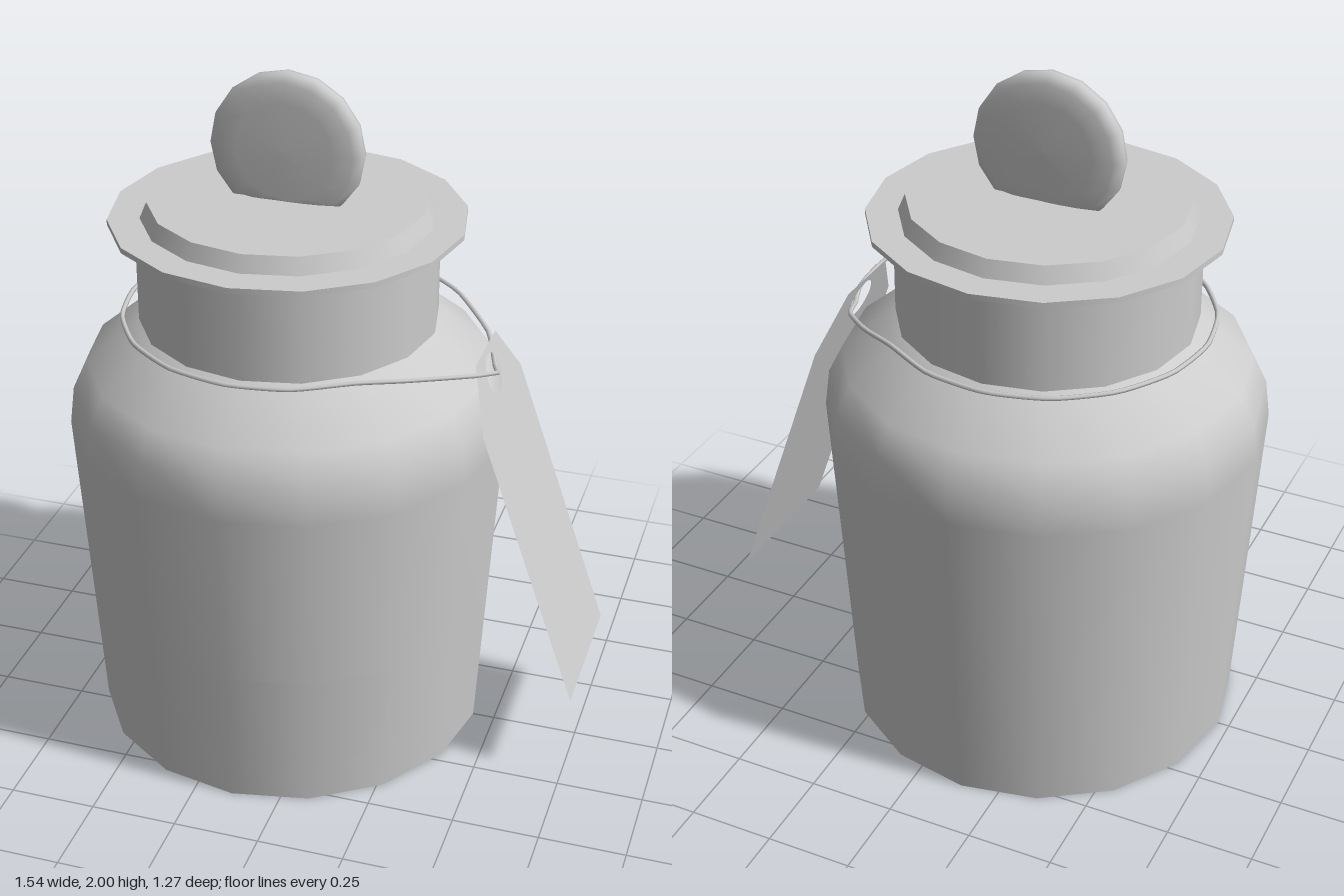
import * as THREE from 'three';

const SIDES = 16;
const AXIS_X = -0.14; // the jar stands off-centre so that the tag fits beside it

export function createModel() {
  const model = new THREE.Group();
  const grey = new THREE.MeshStandardMaterial({ color: 0xcccccc });
  const greySheet = new THREE.MeshStandardMaterial({ color: 0xcccccc, side: THREE.DoubleSide });
  greySheet.name = 'grey sheet';
  grey.name = 'grey';

  const add = (name, geometry, x = 0, y = 0, material = grey) => {
    const mesh = new THREE.Mesh(geometry, material);
    mesh.name = name;
    mesh.position.set(x, y, 0);
    model.add(mesh);
    return mesh;
  };
  // Turned part; repeating a point in the profile makes a sharp edge there
  const lathe = (profile, start = 0, length = Math.PI * 2, sides = SIDES) =>
    new THREE.LatheGeometry(profile.map(([r, y]) => new THREE.Vector2(r, y)), sides, start, length);
  const sharp = (profile) => profile.flatMap((p) => [p, p]).slice(1, -1);

  // Jar body with rounded shoulder
  add('body', lathe([
    [0, 0], [0.575, 0], [0.575, 0], [0.634, 0.96], [0.62, 1.07], [0.578, 1.155],
    [0.45, 1.262], [0.425, 1.28],
  ]), AXIS_X);

  // Straight neck
  add('neck', lathe(sharp([[0.425, 1.27], [0.425, 1.558], [0.38, 1.558]])), AXIS_X);

  // Lid: plug, wide flange and bevelled top
  add('lid', lathe(sharp([
    [0.4, 1.54], [0.4, 1.572], [0.5, 1.572], [0.5, 1.588],
    [0.41, 1.588], [0.39, 1.635], [0, 1.635],
  ])), AXIS_X);

  // Coin-shaped knob, cut flat where it meets the lid
  const knob = lathe([
    [0, -0.04], [0.14, -0.038], [0.195, -0.031], [0.217, -0.018], [0.22, 0],
    [0.217, 0.018], [0.195, 0.031], [0.14, 0.038], [0, 0.04],
  ]);
  knob.rotateX(Math.PI / 2);
  const p = knob.attributes.position;
  for (let i = 0; i < p.count; i++) p.setY(i, Math.max(p.getY(i), -0.148));
  add('knob', knob, AXIS_X, 1.78);

  // Label wrapped around a quarter of the front
  add('label', lathe([[0.586, 0.13], [0.604, 0.425]], -Math.PI / 4, Math.PI / 2, 4), AXIS_X, 0, greySheet);

  // Wire: ring around the neck, drawn out to pass through the tag hole
  const wirePoints = [];
  for (let i = 0; i <= 12; i++) {
    const a = THREE.MathUtils.degToRad(50 + (260 * i) / 12);
    wirePoints.push(new THREE.Vector3(AXIS_X + 0.472 * Math.cos(a), 1.288, 0.472 * Math.sin(a)));
  }
  for (const [x, y, z] of [
    [0.28, 1.27, -0.29], [0.4, 1.225, -0.16], [0.45, 1.187, -0.04], [0.467, 1.185, 0.0],
    [0.473, 1.205, 0.04], [0.435, 1.25, 0.16], [0.28, 1.277, 0.29],
  ]) wirePoints.push(new THREE.Vector3(x, y, z));
  const wire = new THREE.CatmullRomCurve3(wirePoints, true, 'catmullrom', 0.3);
  add('wire', new THREE.TubeGeometry(wire, 90, 0.007, 6, true));

  // Hanging tag with clipped top corners, its origin at the hole
  const outline = new THREE.Shape([
    [-0.225, -0.95], [0.225, -0.95], [0.225, -0.085], [0.112, 0.08], [-0.112, 0.08], [-0.225, -0.085],
  ].map(([x, y]) => new THREE.Vector2(x, y)));
  outline.holes.push(new THREE.Path().absarc(0, 0, 0.06, 0, Math.PI * 2, true));
  const tag = new THREE.ShapeGeometry(outline, 10);
  tag.rotateY(Math.PI / 2);
  tag.rotateZ(0.334);
  add('tag', tag, 0.457, 1.18, greySheet);

  return model;
}
